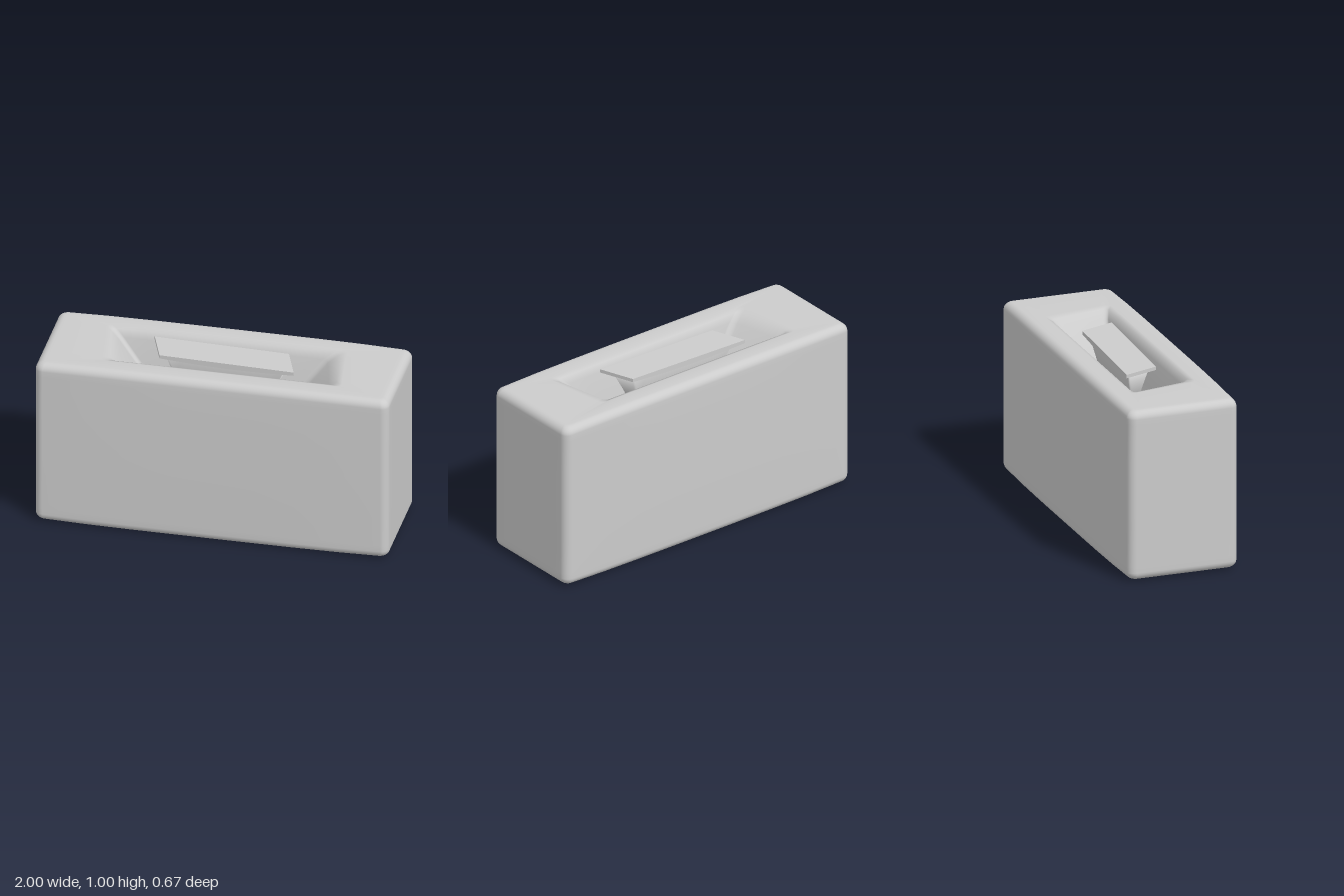
import * as THREE from 'three';

// Outline of a rounded rectangle in x/z, with extra points along the sides
function ringPoints(hx, hz, r, skew) {
  const pts = [];
  const corners = [[1, 1], [-1, 1], [-1, -1], [1, -1]];
  corners.forEach(([sx, sz], k) => {
    for (let i = 0; i <= 5; i++) {
      const a = (k + i / 5) * Math.PI / 2;
      pts.push([sx * (hx - r) + r * Math.cos(a), sz * (hz - r) + r * Math.sin(a)]);
    }
    const [nx, nz] = corners[(k + 1) % 4];
    const a = (k + 1) * Math.PI / 2;
    const start = pts[pts.length - 1];
    const end = [nx * (hx - r) + r * Math.cos(a), nz * (hz - r) + r * Math.sin(a)];
    for (let i = 1; i < 8; i++) {
      const t = i / 8;
      pts.push([start[0] + (end[0] - start[0]) * t, start[1] + (end[1] - start[1]) * t]);
    }
  });
  return pts.map(([x, z]) => [x + skew * z, z]);
}

// Skin of stacked rings [y, halfX, halfZ, radius, skew], closed at both ends
function loft(rings, bend) {
  const pos = [], idx = [];
  let n = 0;
  for (const [y, hx, hz, r, skew = 0] of rings) {
    const pts = ringPoints(hx, hz, r, skew);
    n = pts.length;
    for (const [x, z] of pts) pos.push(...bend(x, y, z));
  }
  for (let j = 0; j < rings.length - 1; j++) {
    for (let i = 0; i < n; i++) {
      const a = j * n + i, b = j * n + (i + 1) % n;
      idx.push(a, a + n, b, b, a + n, b + n);
    }
  }
  const last = (rings.length - 1) * n;
  const c = pos.length / 3;
  pos.push(...bend(0, rings[0][0], 0), ...bend(0, rings[rings.length - 1][0], 0));
  for (let i = 0; i < n; i++) {
    const k = (i + 1) % n;
    idx.push(c, i, k, c + 1, last + k, last + i);
  }
  const g = new THREE.BufferGeometry();
  g.setAttribute('position', new THREE.Float32BufferAttribute(pos, 3));
  g.setIndex(idx);
  g.computeVertexNormals();
  return g;
}

export function createModel() {
  const group = new THREE.Group();
  const material = new THREE.MeshStandardMaterial({ color: 0xcccccc, side: THREE.DoubleSide });

  // Box: rounded lower edge, walls, rounded upper edge, then down into the opening
  const R = 0.045, X = 1, Z = 0.322;
  const rings = [[0, 0.6, 0.18, 0.03], [0, X - R - 0.02, Z - R - 0.02, 0.02]];
  for (let i = 0; i <= 6; i++) {
    const a = i / 6 * Math.PI / 2, d = R * (1 - Math.sin(a));
    rings.push([R * (1 - Math.cos(a)), X - d, Z - d, R - d * 0.6]);
  }
  for (const y of [0.08, 0.3, 0.5, 0.7, 0.92]) rings.push([y, X, Z, R]);
  for (let i = 0; i <= 6; i++) {
    const a = i / 6 * Math.PI / 2, d = R * (1 - Math.cos(a));
    rings.push([1 - R + R * Math.sin(a), X - d, Z - d, R - d * 0.6]);
  }
  rings.push(
    [1, X - R - 0.02, Z - R - 0.02, 0.02],
    [1, 0.68, 0.2, 0.03, 0.15],
    [0.99, 0.64, 0.175, 0.03, 0.2],
    [0.95, 0.59, 0.155, 0.03, 0.25],
    [0.8, 0.47, 0.12, 0.03, 0.3],
    [0.71, 0.41, 0.1, 0.03, 0.35],
    [0.7, 0.38, 0.09, 0.02, 0.35]
  );
  // Sides swell slightly toward the middle
  const swell = (x, y, z) => [
    x,
    0.5 + (y - 0.5) * (1 - 0.015 * x ** 4),
    z * (1 + 0.035 * (1 - x ** 4) * (1 - 0.5 * (2 * y - 1) ** 4)),
  ];
  const box = new THREE.Mesh(loft(rings, swell), material);
  box.name = 'box';
  group.add(box);

  // Thin skewed sheet standing in the opening, level with the top
  const top = new THREE.BoxGeometry(0.765, 0.02, 0.2, 16, 1, 4);
  const p = top.attributes.position;
  for (let i = 0; i < p.count; i++) {
    const x = p.getX(i), z = p.getZ(i);
    const sag = 0.012 * Math.cos(x / 0.765 * Math.PI);
    p.setXYZ(i, x + 0.36 * z, p.getY(i) + 0.99 - (p.getY(i) < 0 ? sag : 0), z + 0.035 * x - 0.005);
  }
  top.computeVertexNormals();
  const sheet = new THREE.Mesh(top, material);
  sheet.name = 'sheet';
  group.add(sheet);

  // Folded stem carrying the sheet, narrowing toward the floor of the opening
  const stem = new THREE.Mesh(loft([
    [0.69, 0.26, 0.03, 0.01, 0.35],
    [0.85, 0.29, 0.04, 0.01, 0.35],
    [0.98, 0.34, 0.07, 0.01, 0.35],
  ], (x, y, z) => [x, y, z + 0.035 * x - 0.005]), material);
  stem.name = 'sheetStem';
  group.add(stem);

  return group;
}
